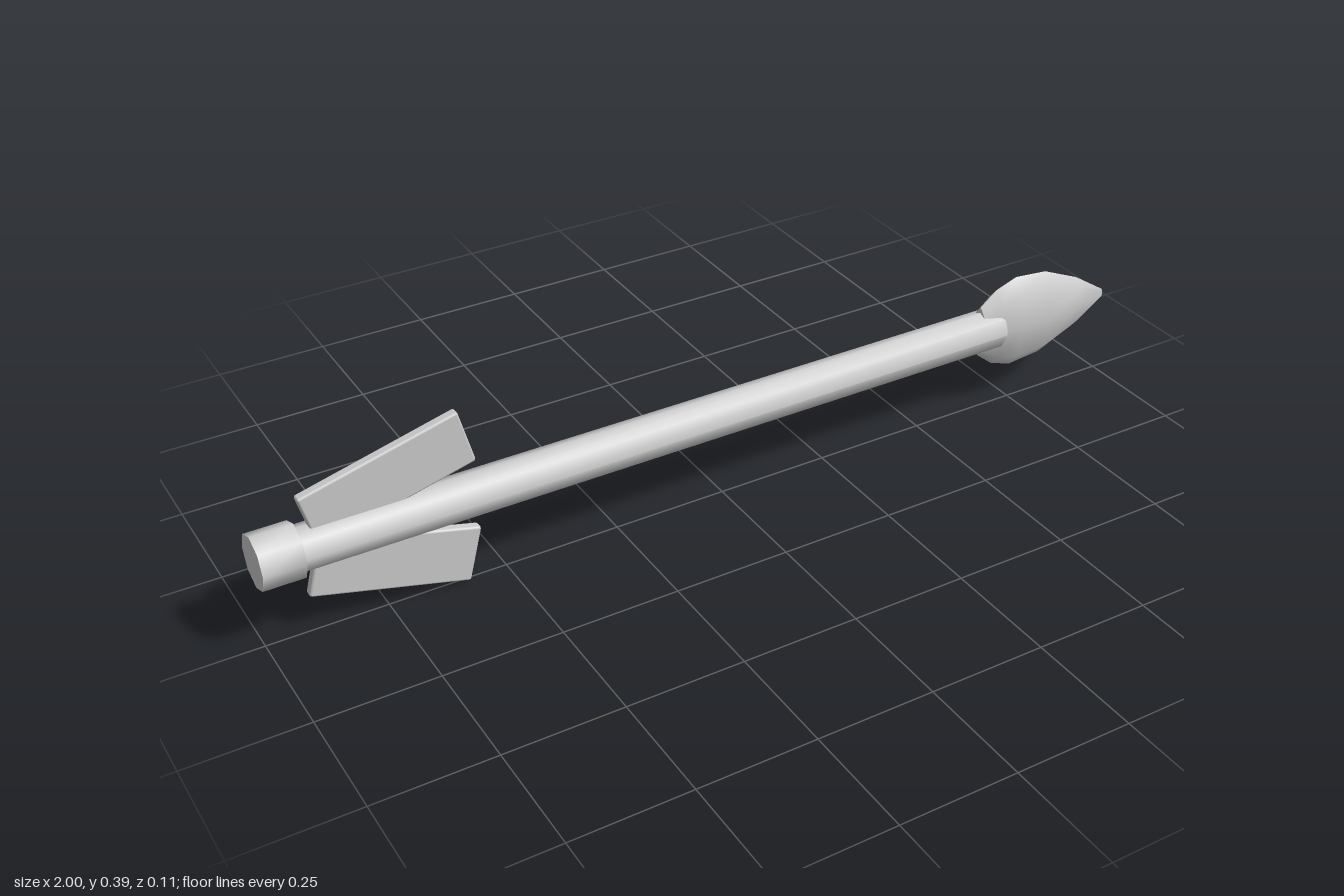
import * as THREE from 'three';
import { toCreasedNormals } from 'three/addons/utils/BufferGeometryUtils.js';
import { RoundedBoxGeometry } from 'three/addons/geometries/RoundedBoxGeometry.js';

const AXIS_Y = 0.196;
const SIDES = 8;

// Eight-sided turned solid along x; profile points are [radius, x].
function turned(profile, depth = 1) {
  const points = profile.map(([r, x]) => new THREE.Vector2(r, x));
  const geometry = new THREE.LatheGeometry(points, SIDES);
  geometry.rotateZ(-Math.PI / 2);
  geometry.scale(1, 1, depth);
  return toCreasedNormals(geometry, 0.9);
}

export function createModel() {
  const arrow = new THREE.Group();
  arrow.name = 'arrow';
  const grey = new THREE.MeshStandardMaterial({ color: 0xcccccc });
  grey.name = 'light grey';

  const add = (name, geometry, x = 0, y = AXIS_Y) => {
    const mesh = new THREE.Mesh(geometry, grey);
    mesh.name = name;
    mesh.position.set(x, y, 0);
    arrow.add(mesh);
    return mesh;
  };

  // Shaft with a slightly bevelled front end
  add('shaft', turned([[0, -0.93], [0.046, -0.93], [0.046, 0.695], [0.039, 0.706], [0, 0.706]]));

  // Wider cap at the tail
  add('nock', turned([[0, -1], [0.057, -1], [0.057, -0.915], [0, -0.915]]));

  // Flattened leaf-shaped point
  add('arrowhead', turned([
    [0, 0.655], [0.06, 0.655], [0.092, 0.695], [0.11, 0.747],
    [0.102, 0.828], [0.062, 0.92], [0.01, 1], [0, 1],
  ], 0.34));

  // Two slanted vanes, mirrored above and below the shaft
  for (const side of [1, -1]) {
    const vane = add(side > 0 ? 'upperVane' : 'lowerVane',
      new RoundedBoxGeometry(0.337, 0.122, 0.022, 1, 0.005), -0.728, AXIS_Y + side * 0.094);
    vane.rotation.z = side * 0.255;
  }

  return arrow;
}
